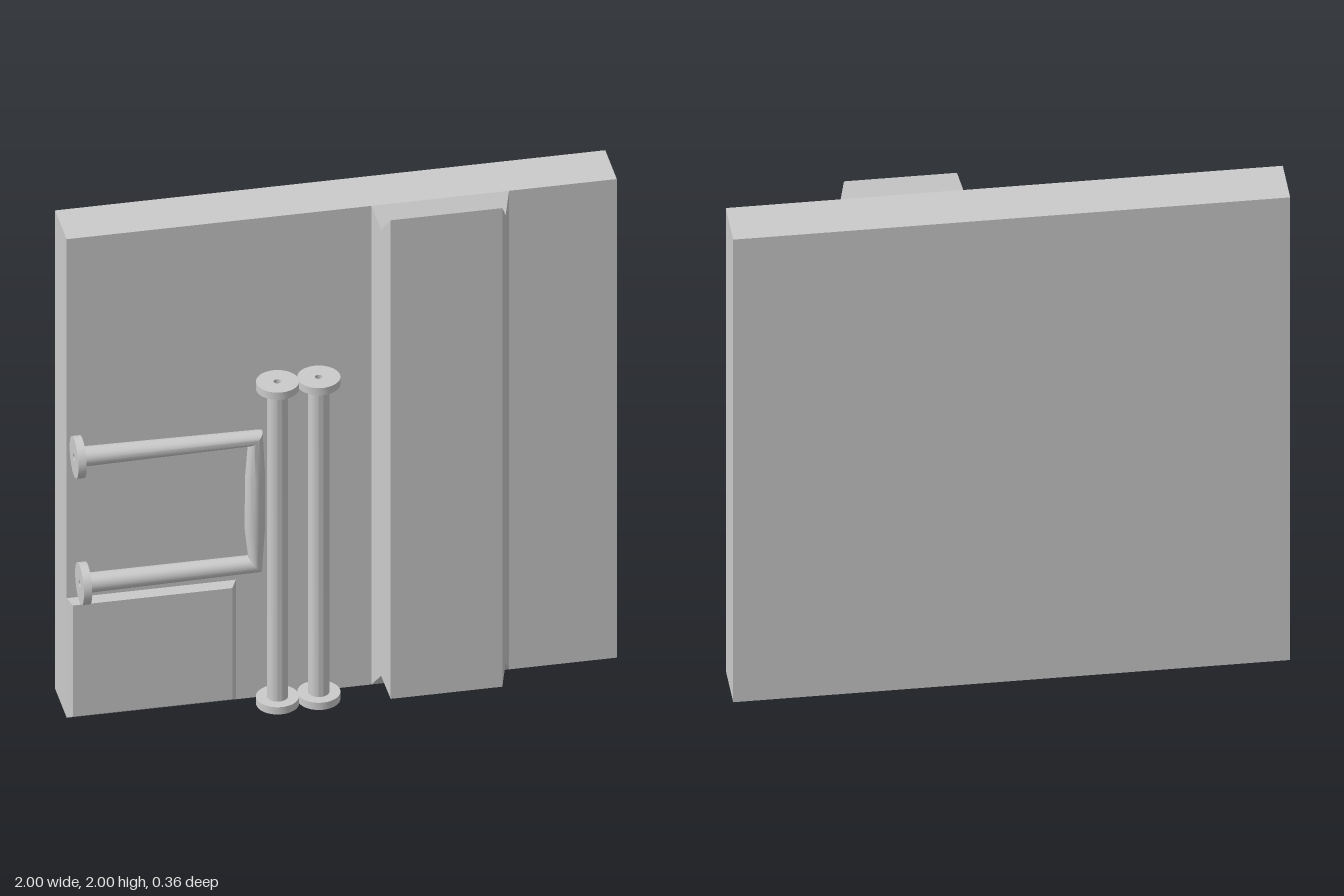
import * as THREE from 'three';
import { toCreasedNormals } from 'three/addons/utils/BufferGeometryUtils.js';

const grey = new THREE.MeshStandardMaterial({ color: 0xcccccc });
const greyDouble = new THREE.MeshStandardMaterial({ color: 0xcccccc, side: THREE.DoubleSide });

const BAR_Z = 0.1;
const FLANGE_R = 0.077;
const FLANGE_T = 0.03;
const BORE = 0.014;

function part(name, geometry, material = grey) {
  const mesh = new THREE.Mesh(geometry, material);
  mesh.name = name;
  return mesh;
}

// Solid of revolution from [radius, y] pairs, with crisp rims
function turned(profile) {
  const points = profile.map(([r, y]) => new THREE.Vector2(r, y));
  return toCreasedNormals(new THREE.LatheGeometry(points, 40), 0.6);
}

// Pilaster: V-grooved ends, sides sloping in towards the front
function pilasterGeometry() {
  const back = 0.02, front = 0.13, groove = 0.066;
  const mid = (back + front) / 2;
  const shape = new THREE.Shape([
    [-front, 0], [-mid, groove], [-back, 0],
    [-back, 2], [-mid, 2 - groove], [-front, 2],
  ].map(([x, y]) => new THREE.Vector2(x, y)));
  const g = new THREE.ExtrudeGeometry(shape, { depth: 1, bevelEnabled: false });
  g.translate(0, 0, -0.5).rotateY(Math.PI / 2);
  const p = g.attributes.position;
  for (let i = 0; i < p.count; i++) {
    const t = (p.getZ(i) - back) / (front - back);
    const half = THREE.MathUtils.lerp(0.25, 0.203, t);
    p.setX(i, 0.358 + Math.sign(p.getX(i)) * half);
  }
  g.computeVertexNormals();
  return g;
}

// Low plate with a chamfered front
function plateGeometry() {
  const g = new THREE.BoxGeometry(0.615, 0.5, 0.025);
  const p = g.attributes.position;
  for (let i = 0; i < p.count; i++) {
    if (p.getZ(i) < 0) continue;
    p.setX(i, p.getX(i) - Math.sign(p.getX(i)) * 0.018);
    p.setY(i, p.getY(i) - Math.sign(p.getY(i)) * 0.018);
  }
  g.computeVertexNormals();
  g.translate(-0.6925, 0.25, 0.0325);
  return g;
}

// Upright bar with a flange at each end and a small bore
function uprightGeometry(y0, y1) {
  const r = 0.038;
  return turned([
    [BORE, y0], [FLANGE_R, y0], [FLANGE_R, y0 + FLANGE_T], [r, y0 + FLANGE_T],
    [r, y1 - FLANGE_T], [FLANGE_R, y1 - FLANGE_T], [FLANGE_R, y1], [BORE, y1], [BORE, y0],
  ]);
}

// Bent handle: elliptical rings spanning outer and inner edge points
function handleGeometry() {
  const stations = [
    [-0.965, 1.172, -0.965, 1.098],
    [-0.305, 1.16, -0.357, 1.109],
    [-0.296, 0.98, -0.367, 0.98],
    [-0.296, 0.76, -0.37, 0.76],
    [-0.308, 0.578, -0.357, 0.641],
    [-0.95, 0.568, -0.95, 0.642],
  ];
  const sides = 24, positions = [], index = [];
  stations.forEach(([ox, oy, ix, iy], s) => {
    for (let j = 0; j < sides; j++) {
      const a = (j / sides) * Math.PI * 2;
      const t = (1 - Math.cos(a)) / 2;
      positions.push(ox + (ix - ox) * t, oy + (iy - oy) * t, BAR_Z + 0.035 * Math.sin(a));
      if (s === stations.length - 1) continue;
      const k = (j + 1) % sides;
      const A = s * sides + j, B = s * sides + k, C = B + sides, D = A + sides;
      index.push(A, B, D, B, C, D);
    }
  });
  const g = new THREE.BufferGeometry();
  g.setAttribute('position', new THREE.Float32BufferAttribute(positions, 3));
  g.setIndex(index);
  return toCreasedNormals(g, 0.6);
}

export function createModel() {
  const model = new THREE.Group();
  model.name = 'wallPanel';

  // Wall slab
  const wall = part('wall', new THREE.BoxGeometry(2, 2, 0.2));
  wall.position.set(0, 1, -0.08);
  model.add(wall);

  model.add(part('pilaster', pilasterGeometry()));
  model.add(part('plate', plateGeometry()));

  // Pair of upright bars
  [-0.25, -0.1].forEach((x, i) => {
    const bar = part(`uprightBar${i + 1}`, uprightGeometry(0.015, 1.36));
    bar.position.set(x, 0, BAR_Z);
    model.add(bar);
  });

  // Handle and its two end flanges
  const handle = new THREE.Group();
  handle.name = 'handle';
  handle.add(part('handleBar', handleGeometry(), greyDouble));
  [[-0.975, 1.135], [-0.955, 0.605]].forEach(([x, y], i) => {
    const h = FLANGE_T / 2;
    const flange = part(`handleFlange${i + 1}`, turned([
      [BORE, -h], [FLANGE_R, -h], [FLANGE_R, h], [BORE, h], [BORE, -h],
    ]));
    flange.rotation.z = Math.PI / 2;
    flange.position.set(x, y, BAR_Z);
    handle.add(flange);
  });
  model.add(handle);

  return model;
}
